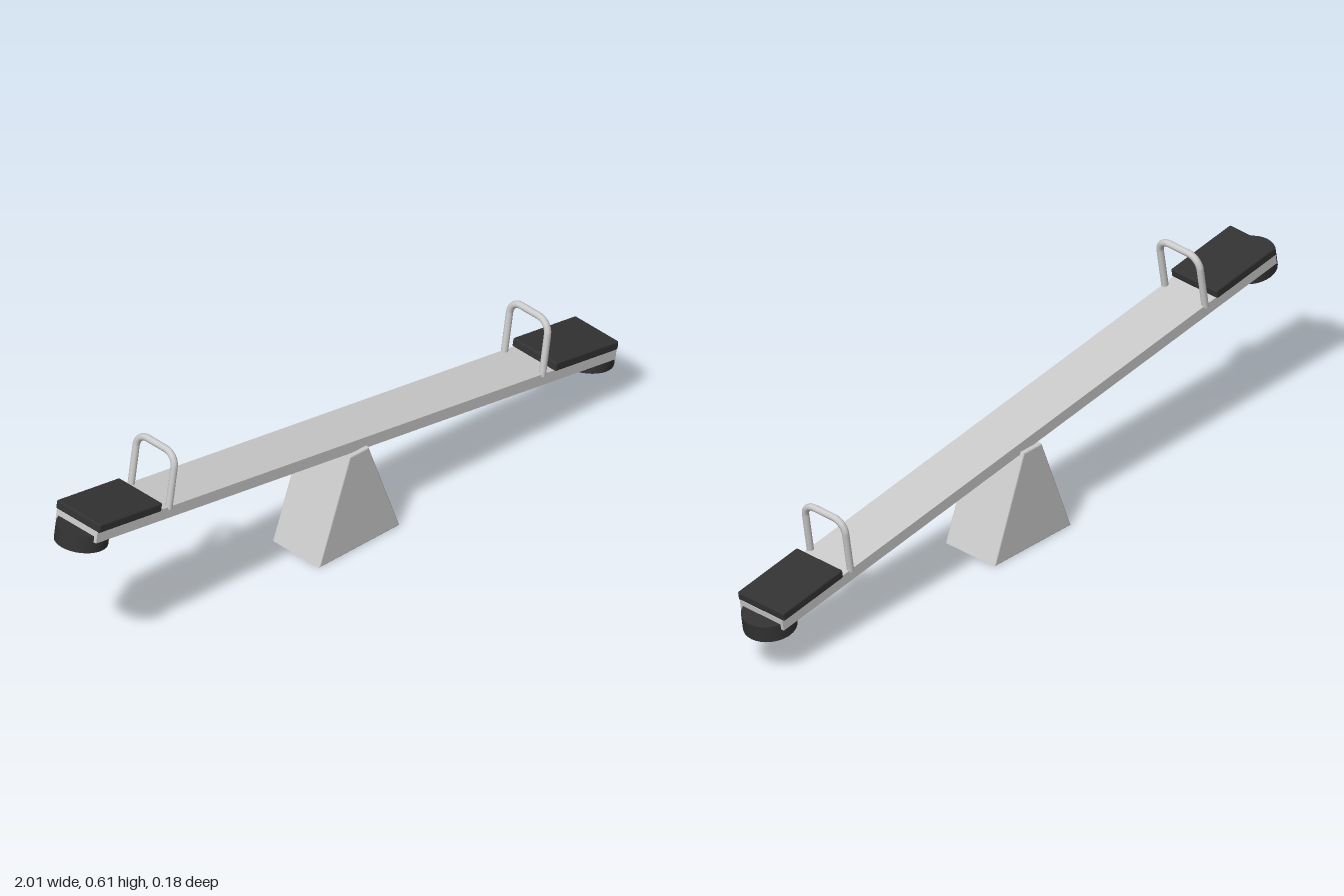
import * as THREE from 'three';
import { RoundedBoxGeometry } from 'three/addons/geometries/RoundedBoxGeometry.js';

const grey = new THREE.MeshStandardMaterial({ color: 0xcccccc });
const dark = new THREE.MeshStandardMaterial({ color: 0x333333 });

function addMesh(parent, name, geometry, material, x = 0, y = 0, z = 0) {
  const mesh = new THREE.Mesh(geometry, material);
  mesh.name = name;
  mesh.position.set(x, y, z);
  parent.add(mesh);
  return mesh;
}

// Wedge-shaped stand with slightly bevelled edges
function standGeometry() {
  const bevel = 0.004, depth = 0.18;
  const shape = new THREE.Shape([
    new THREE.Vector2(-0.143, bevel),
    new THREE.Vector2(0.143, bevel),
    new THREE.Vector2(0.032, 0.299),
    new THREE.Vector2(-0.032, 0.299),
  ]);
  const geometry = new THREE.ExtrudeGeometry(shape, {
    depth: depth - 2 * bevel, bevelThickness: bevel, bevelSize: bevel, bevelSegments: 2,
  });
  return geometry.translate(0, 0, bevel - depth / 2);
}

// Hoop: two uprights joined by a top bar with rounded corners
function handleGeometry() {
  const half = 0.073, bottom = 0.01, top = 0.172, r = 0.038;
  const v = (y, z) => new THREE.Vector3(0, y, z);
  const path = new THREE.CurvePath();
  path.add(new THREE.LineCurve3(v(bottom, -half), v(top - r, -half)));
  const corner = (zCentre, from) => {
    const points = [];
    for (let i = 0; i <= 8; i++) {
      const a = from - (i / 8) * Math.PI / 2;
      points.push(v(top - r + r * Math.sin(a), zCentre + r * Math.cos(a)));
    }
    for (let i = 0; i < 8; i++) path.add(new THREE.LineCurve3(points[i], points[i + 1]));
  };
  corner(-half + r, Math.PI);
  path.add(new THREE.LineCurve3(v(top, -half + r), v(top, half - r)));
  corner(half - r, Math.PI / 2);
  path.add(new THREE.LineCurve3(v(top - r, half), v(bottom, half)));
  return new THREE.TubeGeometry(path, 96, 0.01, 12, false);
}

export function createModel() {
  const model = new THREE.Group();
  model.name = 'seesaw';
  addMesh(model, 'stand', standGeometry(), grey);

  // Everything on the beam shares its tilt
  const beam = new THREE.Group();
  beam.name = 'tiltingBeam';
  beam.position.y = 0.318;
  beam.rotation.z = -THREE.MathUtils.degToRad(9);
  model.add(beam);
  addMesh(beam, 'plank', new THREE.BoxGeometry(1.93, 0.034, 0.156), grey);

  const seat = new RoundedBoxGeometry(0.233, 0.026, 0.168, 2, 0.005);
  const handle = handleGeometry();
  const bumper = new THREE.CylinderGeometry(0.073, 0.073, 0.05, 32);

  // Seat, handle and landing bumper at each end
  for (const [side, s] of [['left', 1], ['right', -1]]) {
    addMesh(beam, side + 'Seat', seat, dark, s * 0.848, 0.028);
    addMesh(beam, side + 'Handle', handle, grey, s * 0.694, 0);
    addMesh(beam, side + 'Bumper', bumper, dark, s * 0.94, -0.025);
  }
  return model;
}
